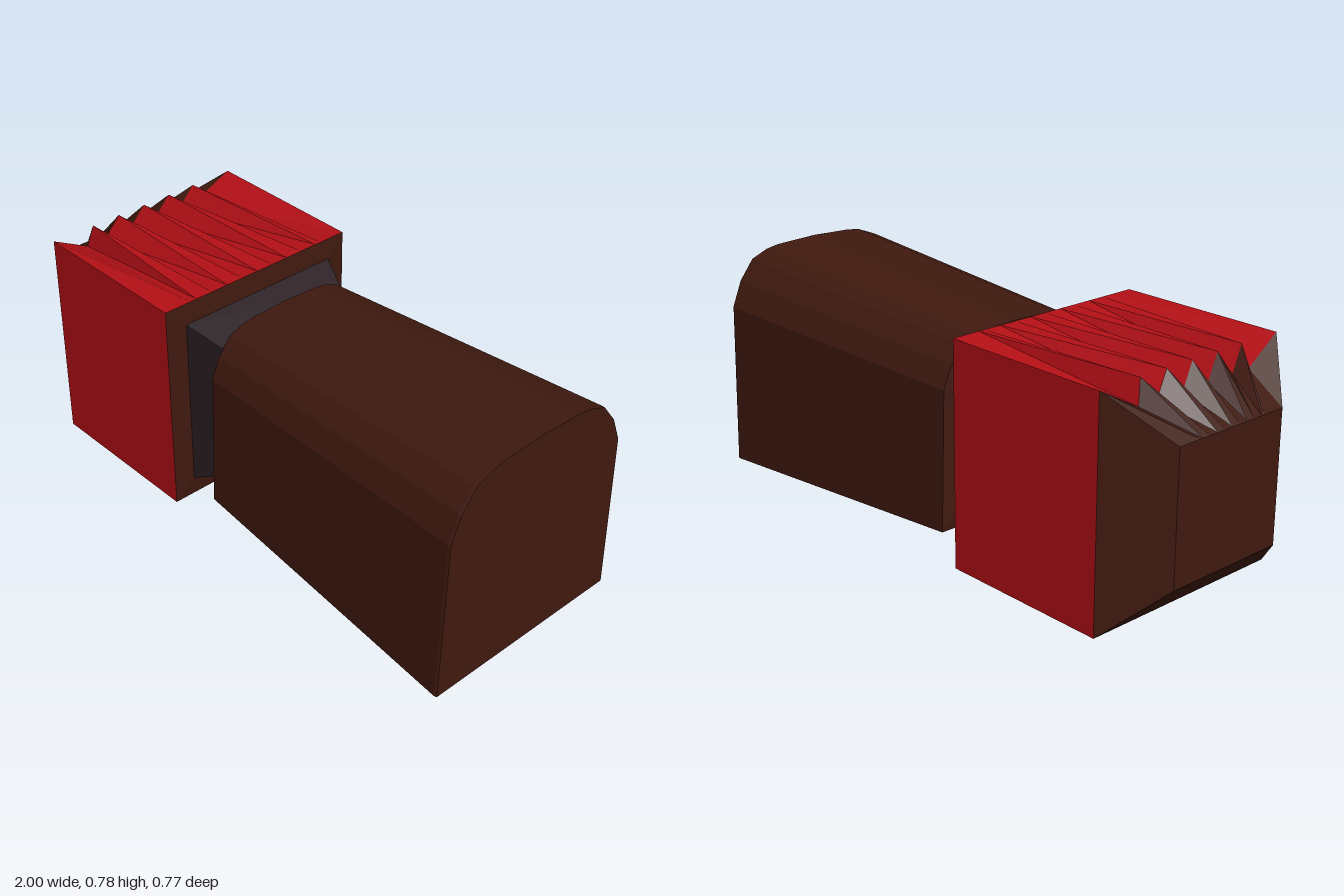
import * as THREE from 'three';

// Flat-shaded skin over rings of [x, y, z]; rings run along +x, points turn from +y to +z
function loft(name, color, rings, capStart, capEnd) {
  const pos = [];
  const tri = (a, b, c) => pos.push(...a, ...b, ...c);
  const n = rings[0].length;
  for (let r = 0; r < rings.length - 1; r++) {
    const a = rings[r], b = rings[r + 1];
    for (let i = 0; i < n; i++) {
      const j = (i + 1) % n;
      tri(a[i], a[j], b[i]);
      tri(b[i], a[j], b[j]);
    }
  }
  const cap = (ring, flip) => {
    const c = [0, 1, 2].map(k => ring.reduce((s, p) => s + p[k], 0) / n);
    ring.forEach((p, i) => {
      const q = ring[(i + 1) % n];
      if (flip) tri(c, q, p); else tri(c, p, q);
    });
  };
  if (capStart) cap(rings[0], true);
  if (capEnd) cap(rings[rings.length - 1], false);
  const geo = new THREE.BufferGeometry();
  geo.setAttribute('position', new THREE.Float32BufferAttribute(pos, 3));
  geo.computeVertexNormals();
  const mesh = new THREE.Mesh(geo, new THREE.MeshStandardMaterial({ color, flatShading: true }));
  mesh.name = name;
  return mesh;
}

const RED = 0xb51016, BROWN = 0x3f190f, DARK = 0x261a1f;

// Pleat lines across the head top: even entries are ridges, odd ones valleys
const half = [0, 0.055, 0.11, 0.165, 0.22, 0.24, 0.383];
const pleats = [...half.slice(1).reverse().map(z => -z), ...half];

// Rectangular ring with the pleat points along its top edge
function headRing(x, y0, y1, w, { depth = 0, shift = 0, spread = 1 } = {}) {
  const last = pleats.length - 1;
  const top = pleats.map((z, i) => {
    const valley = i % 2 === 1;
    const edge = i === 0 || i === last;
    return [x - (valley ? shift : 0), y1 - (valley ? depth : 0), z / 0.383 * w * (edge ? 1 : spread)];
  });
  return [...top, [x, y0, w], [x, y0, -w]];
}

// Handle section: flat bottom, nearly upright sides, arched top
const arch = [[0, 0.78], [0.16, 0.774], [0.21, 0.766], [0.275, 0.74], [0.33, 0.67], [0.367, 0.58], [0.383, 0]];
function handleRing(x, y0, height, halfWidth) {
  const side = arch.map(([z, y]) => [x, y0 + y / 0.78 * height, z / 0.383 * halfWidth]);
  const mirror = side.slice(1).reverse().map(([px, y, z]) => [px, y, -z]);
  return [...side, ...mirror];
}

const rect = (x, y0, y1, w) => [[x, y1, -w], [x, y1, w], [x, y0, w], [x, y0, -w]];

export function createModel() {
  const model = new THREE.Group();
  model.name = 'pleatedHeadWithHandle';

  // Head: chamfered nose, pleated red block, rear lip
  const nose = headRing(-1, 0.16, 0.605, 0.225);
  const front = headRing(-0.84, 0, 0.766, 0.383, { depth: 0.08, shift: 0.015 });
  const back = headRing(-0.23, 0, 0.766, 0.383, { spread: 1.17 });
  const lip = headRing(-0.222, 0.07, 0.695, 0.31);
  model.add(loft('headNose', BROWN, [nose, front], true, false));
  model.add(loft('headBlock', RED, [front, back], false, false));
  model.add(loft('headRearLip', BROWN, [back, lip], false, true));

  // Neck
  model.add(loft('neck', DARK, [rect(-0.225, 0.07, 0.695, 0.31), rect(-0.1, 0.125, 0.64, 0.262)], true, true));

  // Handle, flaring towards the far end
  model.add(loft('handle', BROWN, [
    handleRing(-0.108, 0.125, 0.515, 0.265),
    handleRing(-0.098, 0.06, 0.652, 0.324),
    handleRing(0.99, 0, 0.779, 0.383),
    handleRing(1, 0, 0.78, 0.38),
  ], true, true));

  return model;
}
